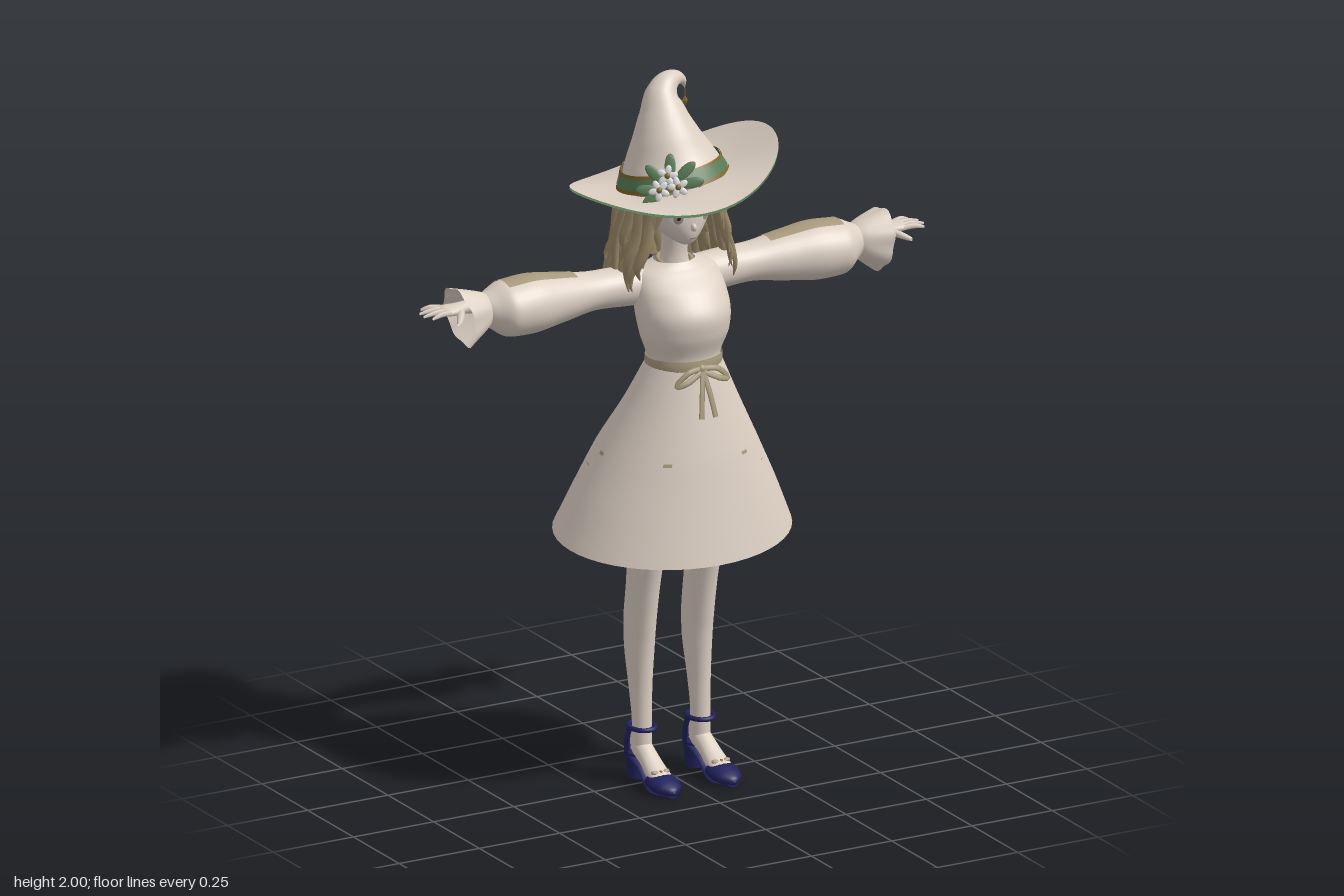
import * as THREE from 'three';

const V = (x, y, z) => new THREE.Vector3(x, y, z);
const mat = (name, color) => {
  const m = new THREE.MeshStandardMaterial({ color, side: THREE.DoubleSide });
  m.name = name;
  return m;
};
const TAU = Math.PI * 2;

// Grid surface from a function of (u, v); v wraps round when closed
function surf(fn, nu, nv, closed = true) {
  const pos = [], idx = [], cols = closed ? nv : nv + 1;
  for (let i = 0; i <= nu; i++) for (let j = 0; j < cols; j++) pos.push(...fn(i / nu, j / nv).toArray());
  for (let i = 0; i < nu; i++) for (let j = 0; j < nv; j++) {
    const a = i * cols + j, b = i * cols + (j + 1) % cols, c = a + cols, d = b + cols;
    idx.push(a, c, b, b, c, d);
  }
  const g = new THREE.BufferGeometry();
  g.setAttribute('position', new THREE.Float32BufferAttribute(pos, 3));
  g.setIndex(idx);
  g.computeVertexNormals();
  return g;
}

// Smooth elliptical sections from rows [x, y, z, radiusA, radiusB] along an axis
function sections(rows, axis = 'y') {
  const C = new THREE.CatmullRomCurve3(rows.map(r => V(r[0], r[1], r[2])));
  const R = new THREE.CatmullRomCurve3(rows.map(r => V(r[3], r[4], 0)));
  return (u, ang, off = 0) => {
    const p = C.getPoint(u), r = R.getPoint(u);
    const a = (Math.max(r.x, 0) + off) * Math.cos(ang), b = (Math.max(r.y, 0) + off) * Math.sin(ang);
    if (axis === 'y') return p.add(V(a, 0, b));
    if (axis === 'x') return p.add(V(0, a, b));
    return p.add(V(a, b, 0));
  };
}
const loft = (rows, axis, nu = 24, nv = 24) => {
  const f = sections(rows, axis);
  return surf((u, v) => f(u, v * TAU), nu, nv);
};
// Patch lying just above a section surface
const patch = (f, u0, u1, a0, a1, off, n = 10) =>
  surf((u, v) => f(u0 + (u1 - u0) * u, a0 + (a1 - a0) * v, off), n, n, false);

// Flattened tapering strand along points
function strand(pts, out, w, th, taper = 0.9) {
  const c = new THREE.CatmullRomCurve3(pts.map(p => V(...p)));
  return surf((u, v) => {
    const t = c.getTangent(u), side = t.clone().cross(out).normalize();
    const k = (1 - taper * u ** 3), a = v * TAU;
    return c.getPoint(u).addScaledVector(side, w * k * Math.cos(a)).addScaledVector(out, th * k * Math.sin(a));
  }, 14, 6);
}

export function createModel() {
  const M = {
    cream: mat('cream', 0xdccfc3), hair: mat('hair brown', 0x9a8868), green: mat('leaf green', 0x587a56),
    navy: mat('navy', 0x21215c), tan: mat('tan', 0xa99a7e), gold: mat('old gold', 0x7d6428),
    white: mat('petal white', 0xdadada), dark: mat('dark brown', 0x33261f), iris: mat('iris', 0xa48c80),
  };
  const root = new THREE.Group();
  const add = (name, geo, m, parent = root) => {
    const o = new THREE.Mesh(geo, m);
    o.name = name;
    parent.add(o);
    return o;
  };
  const ball = (name, m, p, s, parent) => {
    const o = add(name, new THREE.SphereGeometry(1, 14, 10), m, parent);
    o.position.set(...p); o.scale.set(...s);
    return o;
  };

  // Hat crown with curled tip
  const hatC = new THREE.CatmullRomCurve3([[0.003, 1.715, -0.012], [-0.004, 1.77, -0.02], [-0.011, 1.83, -0.027],
    [-0.013, 1.89, -0.04], [-0.008, 1.94, -0.055], [0.013, 1.967, -0.065], [0.045, 1.974, -0.075],
    [0.074, 1.958, -0.085], [0.082, 1.936, -0.088]].map(p => V(...p)));
  const hatR = new THREE.CatmullRomCurve3([0.149, 0.126, 0.096, 0.068, 0.047, 0.034, 0.022, 0.011, 0.001].map((r, i) => V(r, i, 0)));
  const hat = (u, a, off = 0) => {
    const t = hatC.getTangent(u), b = V(0, 0, 1).addScaledVector(t, -t.z).normalize(), s = t.clone().cross(b);
    const r = Math.max(hatR.getPoint(u).x, 0) + off;
    return hatC.getPoint(u).addScaledVector(s, r * Math.cos(a)).addScaledVector(b, r * Math.sin(a));
  };
  add('hatCrown', surf((u, v) => hat(u, v * TAU), 48, 36), M.cream);
  const band = (name, u0, u1, off, m) => add(name, surf((u, v) => hat(u0 + (u1 - u0) * u, v * TAU, off), 3, 40), m);
  band('hatBand', 0.0, 0.1, 0.006, M.green);
  band('bandTrimLower', 0.0, 0.022, 0.009, M.gold);
  band('bandTrimUpper', 0.09, 0.108, 0.009, M.gold);

  // Saddle-shaped brim: cream above, green below
  const brim = dy => surf((u, v) => {
    const a = v * TAU, r = 0.135 + 0.148 * u, x = r * Math.cos(a), z = r * Math.sin(a);
    return V(x, 1.718 + dy + 0.19 * x + 0.088 * z + u ** 1.4 * (0.014 + 0.039 * Math.cos(2 * a)), z - 0.002);
  }, 10, 64);
  add('brimTop', brim(0), M.cream);
  add('brimUnderside', brim(-0.007), M.green);

  // Hanging charm
  add('charmCord', new THREE.CylinderGeometry(0.002, 0.002, 0.04, 6), M.gold).position.set(0.083, 1.922, -0.088);
  const charm = add('charm', new THREE.OctahedronGeometry(0.012), M.gold);
  charm.position.set(0.083, 1.898, -0.088); charm.scale.set(0.8, 1.4, 0.4);

  // Flowers and leaves on the brim
  const posy = new THREE.Group();
  posy.name = 'flowers'; posy.position.set(-0.085, 1.745, 0.125); posy.rotation.set(-0.35, -0.5, 0);
  root.add(posy);
  [[-0.03, -0.005, 0.018], [0.022, -0.005, 0.02], [-0.002, 0.03, 0.012]].forEach(([x, y, z]) => {
    for (let i = 0; i < 5; i++) {
      const a = i * TAU / 5 + x * 20;
      const p = ball('petal', M.white, [x + 0.016 * Math.cos(a), y + 0.016 * Math.sin(a), z], [0.014, 0.009, 0.004], posy);
      p.rotation.z = a;
    }
    ball('flowerCentre', M.gold, [x, y, z + 0.004], [0.008, 0.008, 0.006], posy);
  });
  [[-0.06, 0.0, 2.9], [-0.035, 0.04, 2.2], [0.05, 0.035, 0.6], [0.06, 0.0, 0], [-0.05, -0.022, 3.6], [0.01, 0.055, 1.4]].forEach(([x, y, a]) => {
    ball('leaf', M.green, [x, y, 0.004], [0.034, 0.015, 0.004], posy).rotation.z = a;
  });

  // Head: sphere narrowed and pushed forward at the chin
  const headW = sy => 0.105 * (1 - 0.45 * Math.max(0, -sy) ** 2);
  const headZ = (sy, sz) => -0.01 + 0.115 * sz + 0.06 * Math.max(0, -sy) ** 2;
  add('head', surf((u, v) => {
    const p = u * Math.PI, sy = Math.cos(p), s = Math.sin(p), a = v * TAU;
    return V(headW(sy) * s * Math.cos(a), 1.675 + 0.13 * sy, headZ(sy, s * Math.sin(a)));
  }, 28, 36), M.cream);
  ball('nose', M.cream, [0, 1.607, 0.104], [0.008, 0.012, 0.013]);
  // Painted face details follow the head surface
  const decal = (name, cx, cy, rx, ry, off, m) => add(name, surf((u, v) => {
    const x = cx + rx * u * Math.cos(v * TAU), y = cy + ry * u * Math.sin(v * TAU), sy = (y - 1.675) / 0.13, sx = x / headW(sy);
    return V(x, y, headZ(sy, Math.sqrt(Math.max(0, 1 - sx * sx - sy * sy))) + off);
  }, 4, 20), m);
  for (const s of [-1, 1]) {
    decal('eyeWhite', s * 0.043, 1.638, 0.021, 0.02, 0.002, M.white);
    decal('iris', s * 0.042, 1.637, 0.012, 0.018, 0.003, M.iris);
    decal('pupil', s * 0.042, 1.638, 0.005, 0.008, 0.004, M.dark);
    decal('upperLash', s * 0.045, 1.658, 0.024, 0.005, 0.0045, M.dark);
    decal('brow', s * 0.045, 1.685, 0.02, 0.002, 0.003, M.hair);
  }
  decal('mouth', 0, 1.574, 0.01, 0.002, 0.003, M.iris);
  add('neck', loft([[0, 1.46, -0.005, 0.045, 0.045], [0, 1.52, 0, 0.036, 0.036], [0, 1.6, 0.01, 0.038, 0.038]], 'y', 8), M.cream);
  const collar = add('collar', new THREE.TorusGeometry(0.047, 0.006, 8, 24), M.tan);
  collar.rotation.x = Math.PI / 2 + 0.15; collar.position.set(0, 1.487, 0.002);

  // Hair: inner shell, layered wavy locks, and parted fringe
  const hairPoint = (u, f, k = 1) => V(
    Math.sin(f) * k * (0.118 + 0.065 * u), 1.735 - 0.29 * u,
    -0.025 - Math.cos(f) * k * (0.135 + 0.05 * u - 0.035 * u * u));
  add('hairShell', surf((u, v) => hairPoint(u, (v - 0.5) * 4.1, 0.95 + 0.025 * Math.sin(v * 90)), 12, 90, false), M.hair);
  for (let layer = 0; layer < 2; layer++) {
    const n = 21 - layer * 2;
    for (let i = 0; i < n; i++) {
      const f = (i / (n - 1) - 0.5) * (4.35 - layer * 0.3), len = 0.98 + 0.15 * Math.sin(i * 2.4 + layer) + 0.08 * Math.cos(f);
      const pts = [0, 0.25, 0.5, 0.7, 0.88, 1].map((u, j) =>
        hairPoint(u * len, f + 0.06 * Math.sin(j * 1.9 + i * 1.3) * u, 1 - 0.05 * layer + 0.05 * u * Math.sin(j * 2.2 + i)).toArray());
      add('hairLock', strand(pts, V(Math.sin(f), 0, -Math.cos(f)), 0.021, 0.012), M.hair);
    }
  }
  for (const s of [-1, 1]) {
    [[0.05, 1.715, 0.085, 1.672, 0.105, 1.6], [0.075, 1.71, 0.1, 1.66, 0.115, 1.57], [0.1, 1.7, 0.118, 1.62, 0.135, 1.5]].forEach(([a, b, c, d, e, g], i) =>
      add('fringe', strand([[s * 0.012, 1.745, 0.09], [s * a, b, 0.1 - i * 0.012], [s * c, d, 0.085 - i * 0.01], [s * e, g, 0.075 - i * 0.005]],
        V(s * 0.55, 0, 0.83), 0.02, 0.008), M.hair));
  }

  // Dress bodice, belt and skirt
  add('bodice', loft([[0, 1.2, 0.05, 0.1, 0.085], [0, 1.24, 0.05, 0.106, 0.087], [0, 1.3, 0.053, 0.127, 0.106], [0, 1.36, 0.044, 0.134, 0.12],
    [0, 1.42, 0.022, 0.131, 0.103], [0, 1.465, 0.0, 0.12, 0.072], [0, 1.49, -0.002, 0.06, 0.05]], 'y', 36, 36), M.cream);
  const skirtF = sections([[0, 1.225, 0.05, 0.104, 0.088], [0, 1.1, 0.033, 0.163, 0.133], [0, 0.97, 0.01, 0.23, 0.187],
    [0, 0.84, -0.002, 0.292, 0.226], [0, 0.72, -0.012, 0.343, 0.263]]);
  const skirt = (u, a, off = 0) => {
    const p = skirtF(u, a, off);
    p.y -= 0.038 * Math.sin(a) * u * u;
    return p;
  };
  add('skirt', surf((u, v) => skirt(u, v * TAU), 20, 48), M.cream);
  [[1.03, 0.05], [2.11, 0.055], [0.02, 0.025], [Math.PI, 0.05], [4.2, 0.04], [5.2, 0.03]].forEach(([a, w]) => {
    add('skirtPatch', patch(skirt, 0.49, 0.507, a - w, a + w, 0.003, 4), M.tan);
  });
  add('skirtMark', patch(skirt, 0.58, 0.585, 0.65, 0.72, 0.003, 3), M.tan);
  add('skirtMark', patch(skirt, 0.58, 0.587, 3.3, 3.4, 0.003, 3), M.tan);
  add('belt', loft([[0, 1.207, 0.049, 0.109, 0.094], [0, 1.22, 0.05, 0.11, 0.094], [0, 1.236, 0.05, 0.109, 0.092]], 'y', 4, 40), M.tan);

  // Bow at the waist
  ball('bowKnot', M.tan, [0, 1.215, 0.15], [0.012, 0.012, 0.01]);
  for (const s of [-1, 1]) {
    add('bowLoop', strand([[0, 1.217, 0.152], [s * 0.045, 1.212, 0.158], [s * 0.08, 1.178, 0.152], [s * 0.055, 1.183, 0.162], [0, 1.21, 0.155]], V(0, 0.3, 0.95), 0.008, 0.003, 0), M.tan);
    add('bowTail', strand([[0, 1.213, 0.155], [s * 0.012, 1.15, 0.174], [s * 0.022, 1.085, 0.188]], V(0, 0.2, 0.98), 0.008, 0.003, 0), M.tan);
  }

  // Arm and leg, built on one side and mirrored
  const limb = new THREE.Group();
  limb.name = 'leftLimbs';
  const sleeve = sections([[0.07, 1.425, -0.012, 0.055, 0.055], [0.15, 1.426, -0.022, 0.055, 0.058], [0.23, 1.427, -0.028, 0.053, 0.058],
    [0.35, 1.427, -0.025, 0.069, 0.073], [0.45, 1.427, -0.021, 0.081, 0.086], [0.52, 1.426, -0.021, 0.077, 0.085],
    [0.56, 1.43, -0.024, 0.055, 0.06], [0.578, 1.433, -0.025, 0.044, 0.047]], 'x');
  add('sleeve', surf((u, v) => sleeve(u, v * TAU), 36, 32), M.cream, limb);
  add('sleevePatch', patch(sleeve, 0.37, 0.72, -0.85, 0.42, 0.002, 16), M.tan, limb);
  add('cuff', surf((u, v) => {
    const a = v * TAU, r = 0.044 + 0.04 * u ** 0.8 + 0.004 * u * Math.sin(a * 7);
    return V(0.572 + 0.08 * u + 0.017 * u * Math.cos(a), 1.432 - 0.01 * u + r * Math.cos(a), -0.027 + r * 1.02 * Math.sin(a));
  }, 8, 42), M.cream, limb);
  add('hand', loft([[0.56, 1.445, -0.022, 0.024, 0.024], [0.64, 1.452, -0.02, 0.018, 0.021], [0.675, 1.453, -0.015, 0.015, 0.029],
    [0.71, 1.455, -0.013, 0.012, 0.036], [0.728, 1.455, -0.013, 0.004, 0.03]], 'x', 16, 16), M.cream, limb);
  [[-0.04, -0.058, 0.758], [-0.022, -0.03, 0.776], [-0.003, -0.003, 0.778], [0.014, 0.024, 0.765]].forEach(([z0, z1, x1]) => {
    add('finger', strand([[0.705, 1.456, z0], [0.735, 1.458, (z0 + z1) / 2], [x1, 1.452, z1]], V(0, 1, 0), 0.008, 0.008, 0.55), M.cream, limb);
  });
  add('thumb', strand([[0.665, 1.45, 0.0], [0.685, 1.445, 0.035], [0.705, 1.437, 0.062]], V(0, 1, 0), 0.011, 0.01, 0.5), M.cream, limb);

  add('leg', loft([[0.08, 1.05, 0.03, 0.07, 0.075], [0.088, 0.85, 0.018, 0.062, 0.075], [0.091, 0.7, 0.01, 0.049, 0.065], [0.09, 0.56, -0.014, 0.042, 0.058],
    [0.09, 0.46, -0.03, 0.04, 0.058], [0.09, 0.38, -0.034, 0.038, 0.052], [0.091, 0.27, -0.026, 0.031, 0.037],
    [0.091, 0.17, -0.018, 0.027, 0.028], [0.091, 0.09, -0.022, 0.028, 0.034]], 'y', 40, 24), M.cream, limb);
  add('foot', loft([[0.091, 0.105, -0.068, 0.008, 0.02], [0.091, 0.1, -0.03, 0.027, 0.036], [0.092, 0.075, 0.02, 0.028, 0.031],
    [0.093, 0.045, 0.07, 0.033, 0.027], [0.094, 0.026, 0.12, 0.034, 0.018], [0.094, 0.018, 0.15, 0.01, 0.006]], 'z', 24, 18), M.cream, limb);
  // Heeled shoe
  add('shoeToe', loft([[0.094, 0.03, 0.075, 0.042, 0.024], [0.094, 0.027, 0.105, 0.044, 0.025], [0.094, 0.022, 0.14, 0.036, 0.019],
    [0.094, 0.018, 0.163, 0.014, 0.01], [0.094, 0.016, 0.168, 0, 0]], 'z', 18, 20), M.navy, limb);
  add('shoeSole', loft([[0.091, 0.068, -0.075, 0.018, 0.008], [0.091, 0.066, -0.04, 0.031, 0.009], [0.092, 0.045, 0.01, 0.029, 0.008],
    [0.093, 0.014, 0.06, 0.036, 0.01], [0.094, 0.008, 0.11, 0.043, 0.008], [0.094, 0.008, 0.16, 0.016, 0.006]], 'z', 20, 16), M.navy, limb);
  const counter = sections([[0.091, 0.06, -0.043, 0.033, 0.042], [0.091, 0.1, -0.042, 0.034, 0.043], [0.091, 0.142, -0.04, 0.028, 0.037]]);
  add('heelCounter', patch(counter, 0, 1, Math.PI * 0.93, TAU + 0.22, 0, 16), M.navy, limb);
  add('heel', loft([[0.091, 0.0, -0.052, 0.023, 0.025], [0.091, 0.035, -0.053, 0.025, 0.027], [0.091, 0.075, -0.05, 0.033, 0.036]], 'y', 8, 20), M.navy, limb);
  const cap = add('heelTip', new THREE.CircleGeometry(1, 20), M.navy, limb);
  cap.rotation.x = Math.PI / 2; cap.scale.set(0.023, 0.025, 1); cap.position.set(0.091, 0.0005, -0.052);
  const strap = add('ankleStrap', new THREE.TorusGeometry(0.034, 0.007, 8, 24), M.navy, limb);
  strap.rotation.x = Math.PI / 2; strap.position.set(0.091, 0.155, -0.019); strap.scale.set(1, 1.25, 1);
  for (const s of [-1, 1]) {
    ball('shoeBow', M.tan, [0.094 + s * 0.015, 0.054, 0.088], [0.014, 0.007, 0.008], limb).rotation.z = s * 0.25;
  }
  ball('shoeBead', M.gold, [0.094, 0.055, 0.091], [0.006, 0.006, 0.006], limb);

  const mirror = limb.clone();
  mirror.name = 'rightLimbs';
  mirror.scale.x = -1;
  root.add(limb, mirror);
  return root;
}
